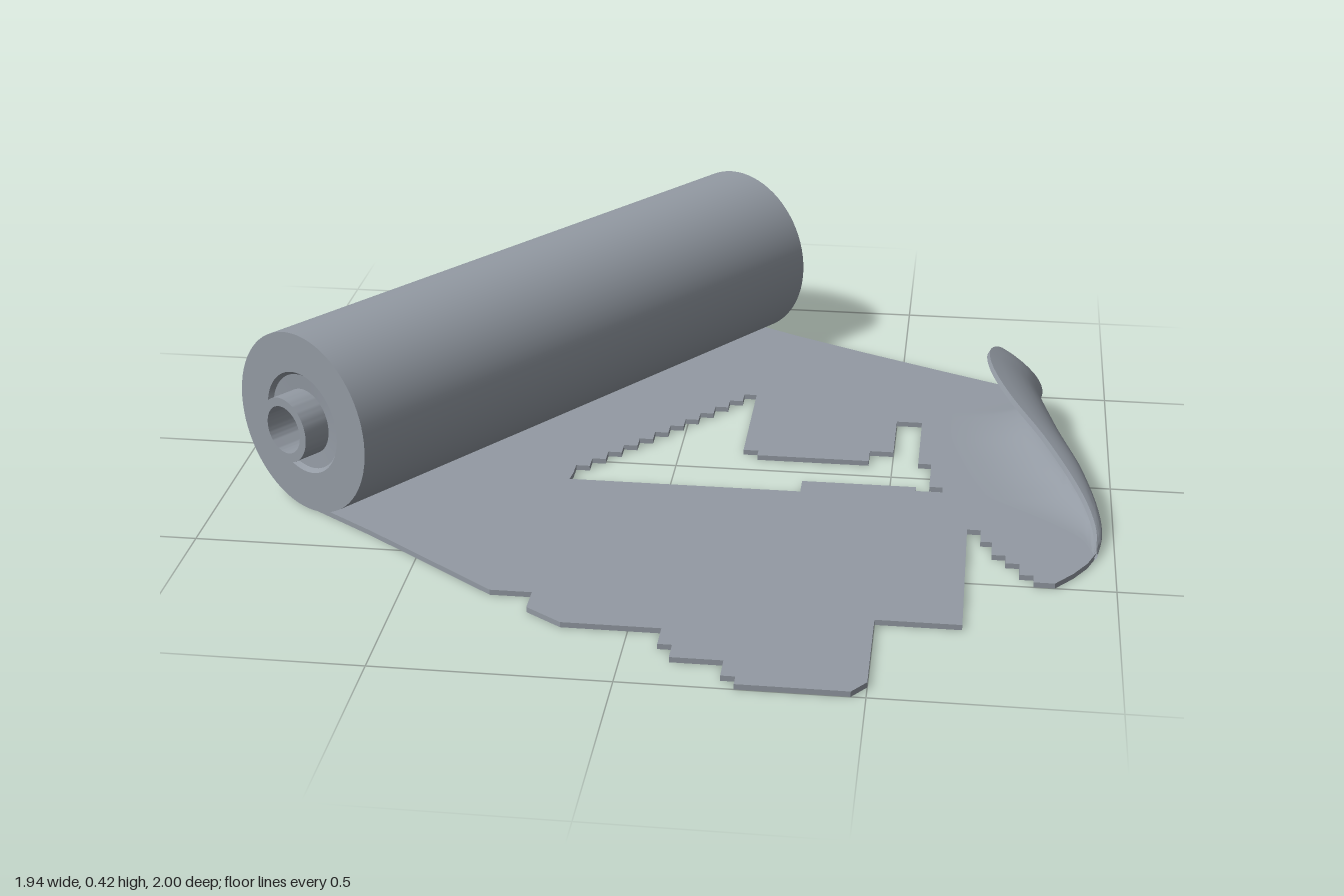
import * as THREE from 'three';
import { toCreasedNormals } from 'three/addons/utils/BufferGeometryUtils.js';

const THICK = 0.012;

// Roll with a hollow core tube sticking out at both ends
function makeRoll(material) {
  const half = [
    [0, -0.55], [0.055, -0.55], [0.055, -0.79], [0.075, -0.79],
    [0.075, -0.725], [0.11, -0.728], [0.118, -0.738], [0.21, -0.738],
  ];
  const profile = [...half, ...half.map(([r, y]) => [r, -y]).reverse()]
    .map(([r, y]) => new THREE.Vector2(r, y));
  const roll = new THREE.Mesh(toCreasedNormals(new THREE.LatheGeometry(profile, 72), 0.5), material);
  roll.name = 'roll';
  const axis = new THREE.Vector3(0.581, 0, -0.814).normalize();
  roll.quaternion.setFromUnitVectors(new THREE.Vector3(0, 1, 0), axis);
  roll.position.set(-0.367, 0.21, -0.28);
  return roll;
}

// Curl sections: z, outermost x, rim x, rim height
const curlKeys = [
  [-0.47, 0.828, 0.828, 0], [-0.42, 0.833, 0.82, 0.07], [-0.35, 0.832, 0.775, 0.15],
  [-0.28, 0.83, 0.735, 0.21], [-0.2, 0.835, 0.71, 0.234], [-0.1, 0.858, 0.72, 0.232],
  [0, 0.886, 0.765, 0.205], [0.1, 0.922, 0.845, 0.15], [0.2, 0.955, 0.92, 0.08],
  [0.28, 0.966, 0.955, 0.03], [0.36, 0.955, 0.955, 0],
];
const spline = (points) => new THREE.CatmullRomCurve3(points, false, 'catmullrom');
const outerCurve = spline(curlKeys.map(([z, x]) => new THREE.Vector3(x, 0, z)));
const rimCurve = spline(curlKeys.map(([z, , x, h]) => new THREE.Vector3(x, h, z)));

function curlSection(t) {
  const outer = outerCurve.getPoint(t);
  const rim = rimCurve.getPoint(t);
  const h = Math.max(rim.y, 0);
  const base = outer.x - 0.2 * Math.min(1, h / 0.15);
  const pull = (outer.x - 0.125 * (base + rim.x)) / 0.75;
  const y0 = THICK / 2;
  const path = new THREE.CubicBezierCurve(
    new THREE.Vector2(base, y0), new THREE.Vector2(pull, y0),
    new THREE.Vector2(pull, y0 + h * 0.6), new THREE.Vector2(rim.x, y0 + h));
  return { path, base, z: outer.z };
}

// Flat sheet with stepped edges and a stepped cut-out, points as x, z
const SECTIONS = 48;
function makeSheet(material) {
  const toPoint = ([x, z]) => new THREE.Vector2(x, -z);
  const outline = [
    [-0.79, 0.32], [-0.62, 0.44], [-0.31, 0.675], [-0.22, 0.675], [-0.22, 0.74], [-0.14, 0.795],
    [0.07, 0.795], [0.07, 0.86], [0.1, 0.86], [0.1, 0.91], [0.21, 0.91], [0.21, 0.97],
    [0.24, 0.97], [0.24, 1], [0.47, 1], [0.5, 0.96], [0.5, 0.705], [0.68, 0.705],
    [0.68, 0.27], [0.71, 0.27], [0.71, 0.325], [0.735, 0.325], [0.735, 0.385], [0.765, 0.385],
    [0.765, 0.42], [0.795, 0.42], [0.795, 0.47], [0.825, 0.47], [0.825, 0.5], [0.87, 0.5],
    [0.91, 0.45], [0.94, 0.4],
  ];
  // Edge shared with the curl
  for (let i = SECTIONS; i >= 0; i--) {
    const { base, z } = curlSection(i / SECTIONS);
    outline.push([base, z]);
  }
  outline.push([0.82, -0.49], [0.79, -0.515], [0.73, -0.545], [0.6, -0.605], [0.4, -0.7], [0.22, -0.79], [0.06, -0.88]);

  const hole = [
    [-0.23, 0.125], [0.3, 0.125], [0.3, 0.07], [0.56, 0.07], [0.56, 0.09], [0.62, 0.09],
    [0.62, 0.065], [0.59, 0.065], [0.59, -0.055], [0.56, -0.055], [0.56, -0.285], [0.5, -0.285],
    [0.5, -0.11], [0.445, -0.11], [0.445, -0.055], [0.185, -0.055], [0.185, -0.08], [0.15, -0.08],
    [0.15, -0.4],
  ];
  // Staircase side of the cut-out
  for (let i = 0; i < 12; i++) {
    const x = 0.12 - i * 0.0315;
    const z = -0.4 + i * 0.041;
    hole.push([x, z], [x, z + 0.041]);
  }
  const shape = new THREE.Shape(outline.map(toPoint));
  shape.holes.push(new THREE.Path(hole.map(toPoint)));
  const geometry = new THREE.ExtrudeGeometry(shape, { depth: THICK, bevelEnabled: false });
  geometry.rotateX(-Math.PI / 2);
  const sheet = new THREE.Mesh(geometry, material);
  sheet.name = 'sheet';
  return sheet;
}

// Lifted edge of the sheet, a thick skin swept through the curl sections
function makeCurl(material) {
  const steps = 20;
  const ring = 2 * (steps + 1);
  const positions = [];
  const index = [];
  for (let i = 0; i <= SECTIONS; i++) {
    const { path, z } = curlSection(i / SECTIONS);
    const inner = [];
    const outer = [];
    for (let j = 0; j <= steps; j++) {
      const p = path.getPoint(j / steps);
      const d = path.getTangent(j / steps);
      // a section that has shrunk to a point lies flat
      if (d.lengthSq() < 0.5) d.set(1, 0);
      const nx = -d.y * THICK / 2;
      const ny = d.x * THICK / 2;
      inner.push([p.x + nx, p.y + ny, z]);
      outer.push([p.x - nx, p.y - ny, z]);
    }
    positions.push(...[...inner, ...outer.reverse()].flat());
  }
  for (let i = 0; i < SECTIONS; i++) {
    for (let j = 0; j < ring - 1; j++) {
      const a = i * ring + j;
      const b = a + ring;
      index.push(a, b, a + 1, b, b + 1, a + 1);
    }
  }
  const geometry = new THREE.BufferGeometry();
  geometry.setAttribute('position', new THREE.Float32BufferAttribute(positions, 3));
  geometry.setIndex(index);
  const curl = new THREE.Mesh(toCreasedNormals(geometry, 0.7), material);
  curl.name = 'curledEdge';
  return curl;
}

export function createModel() {
  const grey = new THREE.MeshStandardMaterial({ color: 0x939aa3 });
  grey.name = 'grey';
  const model = new THREE.Group();
  model.name = 'unrolledSheet';
  model.add(makeRoll(grey), makeSheet(grey), makeCurl(grey));
  return model;
}
